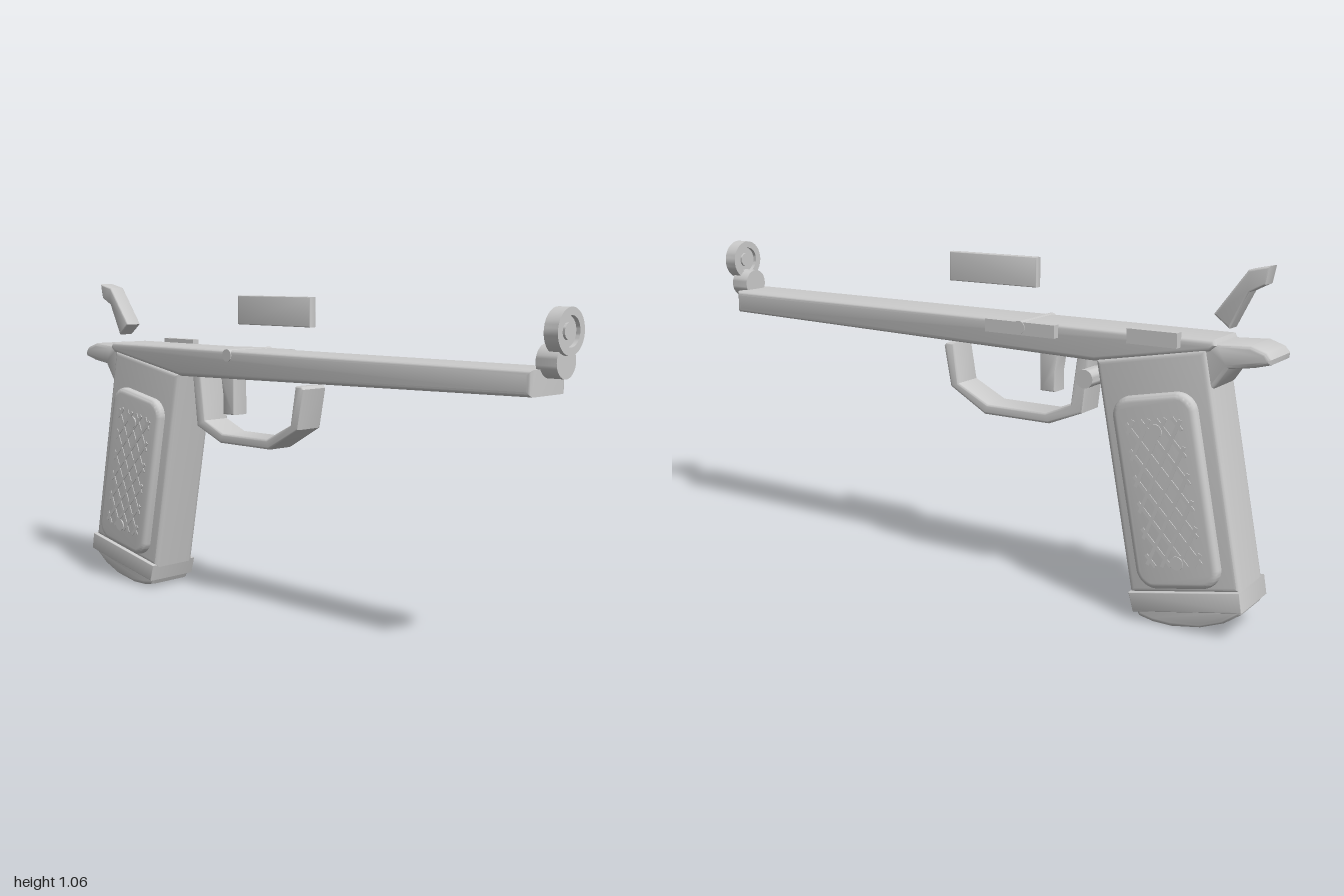
import * as THREE from 'three';
import { toCreasedNormals } from 'three/addons/utils/BufferGeometryUtils.js';

const material = new THREE.MeshStandardMaterial({ color: 0xcccccc });

function add(parent, name, geometry, x = 0, y = 0, z = 0) {
  const mesh = new THREE.Mesh(toCreasedNormals(geometry, 0.6), material);
  mesh.name = name;
  mesh.position.set(x, y, z);
  parent.add(mesh);
  return mesh;
}

// Side profile extruded between z0 and z1, edges rounded inside the outline
function slab(shape, z0, z1, bevel) {
  const geometry = new THREE.ExtrudeGeometry(shape, {
    depth: z1 - z0 - 2 * bevel, bevelEnabled: bevel > 0, bevelSize: bevel,
    bevelThickness: bevel, bevelOffset: -bevel, bevelSegments: 4, curveSegments: 8,
  });
  return geometry.translate(0, 0, z0 + bevel);
}

const outline = (points) => new THREE.Shape(points.map(([x, y]) => new THREE.Vector2(x, y)));

function roundedRect(w, h, r) {
  const s = new THREE.Shape(), x = w / 2 - r, y = h / 2 - r;
  s.absarc(x, y, r, 0, Math.PI / 2);
  s.absarc(-x, y, r, Math.PI / 2, Math.PI);
  s.absarc(-x, -y, r, Math.PI, Math.PI * 1.5);
  s.absarc(x, -y, r, Math.PI * 1.5, Math.PI * 2);
  return s;
}

// Cylinder along z between z0 and z1
const pin = (r, z0, z1) =>
  new THREE.CylinderGeometry(r, r, z1 - z0, 24).rotateX(Math.PI / 2).translate(0, 0, (z0 + z1) / 2);

const box = (x0, x1, y0, y1, z0, z1) =>
  new THREE.BoxGeometry(x1 - x0, y1 - y0, z1 - z0).translate((x0 + x1) / 2, (y0 + y1) / 2, (z0 + z1) / 2);

export function createModel() {
  const model = new THREE.Group();
  model.name = 'model';

  // Long upper body
  add(model, 'body', slab(outline([
    [-0.835, 0.855], [-0.845, 0.838], [-0.825, 0.82], [-0.47, 0.757],
    [0.935, 0.783], [0.935, 0.855],
  ]), -0.083, 0.083, 0.014));

  // Grip, base plate and rounded cap
  add(model, 'grip', slab(outline([
    [-0.95, 0.145], [-0.607, 0.075], [-0.473, 0.765], [-0.815, 0.83],
  ]), -0.084, 0.084, 0.018));
  add(model, 'basePlate', slab(outline([
    [-0.96, 0.094], [-0.623, 0.026], [-0.607, 0.083], [-0.95, 0.152],
  ]), -0.095, 0.095, 0.003));
  add(model, 'baseCap', slab(outline([
    [-0.955, 0.1], [-0.95, 0.08], [-0.9, 0.044], [-0.83, 0.016], [-0.74, 0], [-0.68, 0.001],
    [-0.635, 0.01], [-0.622, 0.035],
  ]), -0.083, 0.083, 0.014));

  // Grip panels with a raised diamond lattice, and their screws
  for (const side of [1, -1]) {
    const panel = new THREE.Group();
    panel.name = side > 0 ? 'leftPanel' : 'rightPanel';
    panel.position.set(-0.718, 0.408, side * 0.091);
    panel.rotation.z = -0.196;
    model.add(panel);
    add(panel, 'panelPlate', slab(roundedRect(0.262, 0.568, 0.06), -0.021, 0.021, 0.018));
    const halfW = 0.085, halfH = 0.215;
    for (const slope of [0.65, -0.65]) {
      for (let i = -4; i <= 4; i++) {
        const c = i * 0.05;
        const a = (-halfW - c) / slope, b = (halfW - c) / slope;
        const v0 = Math.max(-halfH, Math.min(a, b)), v1 = Math.min(halfH, Math.max(a, b));
        if (v1 - v0 < 0.03) continue;
        const mid = (v0 + v1) / 2;
        const bar = add(panel, 'latticeBar',
          new THREE.BoxGeometry(0.011, (v1 - v0) * Math.hypot(1, slope), 0.006),
          c + slope * mid, mid, side * 0.0205);
        bar.rotation.z = -Math.atan(slope);
      }
    }
    for (const [x, y] of [[-0.687, 0.585], [-0.767, 0.21]]) {
      add(model, 'panelScrew', pin(0.02, -0.01, 0.01), x, y, side * 0.107);
    }
  }

  // Rear tang and the hammer above it
  add(model, 'tang', slab(outline([
    [-1, 0.815], [-0.985, 0.833], [-0.94, 0.848], [-0.85, 0.843], [-0.8, 0.85], [-0.78, 0.77],
    [-0.81, 0.69], [-0.845, 0.725], [-0.88, 0.777], [-0.95, 0.787], [-0.998, 0.8],
  ]), -0.076, 0.076, 0.012));
  add(model, 'hammer', slab(outline([
    [-0.965, 1.058], [-0.905, 1.045], [-0.81, 0.917], [-0.858, 0.88],
    [-0.91, 0.985], [-0.955, 1.008],
  ]), -0.029, 0.029, 0.006));

  // Trigger guard and trigger
  add(model, 'triggerGuard', slab(outline([
    [-0.437, 0.765], [-0.417, 0.59], [-0.302, 0.543], [-0.072, 0.543], [0.056, 0.617],
    [0.081, 0.745], [0.072, 0.754], [0.046, 0.754], [0.024, 0.63], [-0.083, 0.576],
    [-0.29, 0.576], [-0.377, 0.612], [-0.397, 0.765],
  ]), -0.053, 0.053, 0.008));
  add(model, 'trigger', slab(outline([
    [-0.32, 0.765], [-0.31, 0.7], [-0.31, 0.637], [-0.258, 0.637], [-0.258, 0.765],
  ]), -0.03, 0.03, 0.005));

  // Side controls
  add(model, 'releaseButton', pin(0.028, -0.1, -0.02), -0.448, 0.705);
  add(model, 'crossPin', pin(0.02, -0.11, 0.086), -0.23, 0.838);
  add(model, 'sideLever', box(-0.35, -0.11, 0.815, 0.854, -0.107, -0.08));
  add(model, 'safetyLever', box(-0.74, -0.585, 0.825, 0.868, -0.107, -0.08));

  // Raised side plate
  add(model, 'sightPlate', slab(outline([
    [-0.203, 0.938], [0.118, 0.938], [0.118, 1.03], [-0.203, 1.03],
  ]), 0.035, 0.06, 0.003));

  // Front sight: post disc and stepped ring, both facing along x
  add(model, 'sightPost',
    new THREE.CylinderGeometry(0.046, 0.046, 0.065, 32).rotateZ(-Math.PI / 2), 0.955, 0.875, 0);
  const half = [[0, 0.016], [0.023, 0.016], [0.023, 0.009], [0.042, 0.009], [0.042, 0.0215], [0.064, 0.0215]];
  const ring = [
    ...half.map(([r, y]) => new THREE.Vector2(r, -y)),
    ...half.map(([r, y]) => new THREE.Vector2(r, y)).reverse(),
  ];
  add(model, 'sightRing', new THREE.LatheGeometry(ring, 40).rotateZ(-Math.PI / 2), 0.9785, 0.955, 0);

  return model;
}
